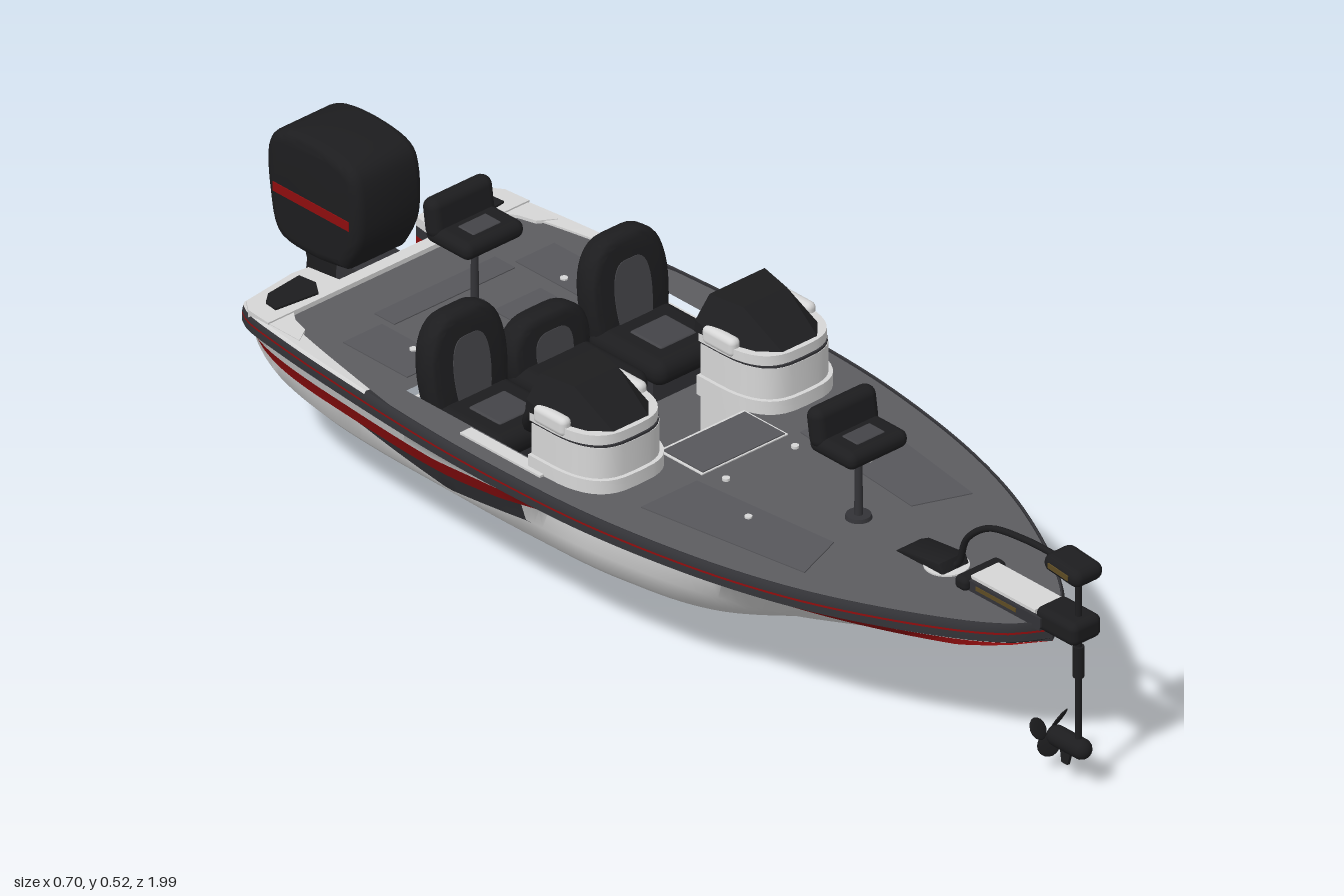
import * as THREE from 'three';
import { toCreasedNormals } from 'three/addons/utils/BufferGeometryUtils.js';
import { RoundedBoxGeometry } from 'three/addons/geometries/RoundedBoxGeometry.js';
import { ConvexGeometry } from 'three/addons/geometries/ConvexGeometry.js';

const mat = (name, color) => Object.assign(new THREE.MeshStandardMaterial({ color }), { name });
const V = (x, y, z) => new THREE.Vector3(x, y, z);

export function createModel() {
  const white = mat('gelcoatWhite', 0xd6d6d6), red = mat('stripeRed', 0x8e0d0e), dark = mat('trimCharcoal', 0x333337);
  const black = mat('vinylBlack', 0x1d1d1f), carpet = mat('deckCarpet', 0x5c5c60), hatch = mat('hatchGrey', 0x57575b);
  const metal = mat('metalGrey', 0x7c7c80), insert = mat('seatInsertGrey', 0x444448), bronze = mat('labelBronze', 0x5e4c24);
  const boat = new THREE.Group();
  boat.name = 'bassBoat';

  // ---- helpers ----
  const add = (parent, name, geo, m, p = [0, 0, 0], r = [0, 0, 0]) => {
    const mesh = new THREE.Mesh(geo, m);
    mesh.name = name;
    mesh.position.set(...p);
    mesh.rotation.set(...r);
    parent.add(mesh);
    return mesh;
  };
  const group = (name, x = 0, y = 0, z = 0) => {
    const g = new THREE.Group();
    g.name = name;
    g.position.set(x, y, z);
    boat.add(g);
    return g;
  };
  const box = (w, h, d) => new THREE.BoxGeometry(w, h, d);
  const soft = (w, h, d, r) => new RoundedBoxGeometry(w, h, d, 3, r);
  const cyl = (r0, r1, h, n = 20) => new THREE.CylinderGeometry(r0, r1, h, n);
  const v2 = (pts) => pts.map(([a, b]) => new THREE.Vector2(a, b));
  // plan outline in (x, z), extruded from y0 up to y1
  const plan = (pts, y0, y1, hole) => {
    const s = new THREE.Shape(v2(pts.map(([x, z]) => [x, -z])));
    if (hole) s.holes.push(new THREE.Path(v2(hole.map(([x, z]) => [x, -z]))));
    const g = new THREE.ExtrudeGeometry(s, { depth: y1 - y0, bevelEnabled: false });
    return toCreasedNormals(g.rotateX(-Math.PI / 2).translate(0, y0, 0), 0.6);
  };
  // side outline in (z, y), extruded across x and centred
  const side = (pts, width, bevel = 0, smooth = false) => {
    const line = smooth ? new THREE.SplineCurve(v2([...pts, pts[0]])).getPoints(48).slice(0, -1) : v2(pts);
    const g = new THREE.ExtrudeGeometry(new THREE.Shape(line), {
      depth: width - 2 * bevel, bevelEnabled: bevel > 0, bevelSize: bevel, bevelThickness: bevel, bevelOffset: -bevel, bevelSegments: 4 });
    return toCreasedNormals(g.translate(0, 0, -(width - 2 * bevel) / 2).rotateY(-Math.PI / 2), 0.7);
  };
  const mirror = (pts) => [...pts, ...pts.slice().reverse().map(([x, z]) => [-x, z])];
  const rect = (x0, x1, z0, z1) => [[x0, z0], [x1, z0], [x1, z1], [x0, z1]];

  // ---- hull lines: z, half beam, keel y, chine x, chine y, side x ratio, side y, stripe from, stripe to ----
  const lines = [
    [-0.82, 0.285, 0.235, 0.25, 0.245, 0.91, 0.25, 0.1, 0.7], [-0.79, 0.3, 0.19, 0.25, 0.2, 0.9, 0.227, 0, 0.5],
    [-0.72, 0.312, 0.125, 0.255, 0.163, 0.89, 0.206, 0, 0.48], [-0.58, 0.328, 0.076, 0.265, 0.145, 0.89, 0.202, 0, 0.48],
    [-0.3, 0.349, 0.073, 0.272, 0.143, 0.89, 0.202, 0.05, 0.52], [-0.1, 0.352, 0.073, 0.272, 0.143, 0.89, 0.204, 0.5, 0.88],
    [0.1, 0.343, 0.075, 0.26, 0.143, 0.88, 0.205, 0.7, 0.95], [0.3, 0.314, 0.086, 0.205, 0.143, 0.85, 0.207, 0.7, 0.95],
    [0.46, 0.275, 0.136, 0.06, 0.145, 0.79, 0.213, 0.7, 0.95], [0.6, 0.223, 0.188, 0.02, 0.192, 0.73, 0.228, 0.7, 0.95],
    [0.76, 0.14, 0.232, 0.012, 0.235, 0.67, 0.244, 0.7, 0.95], [0.86, 0.066, 0.255, 0.006, 0.256, 0.6, 0.258, 0.7, 0.95],
    [0.9, 0, 0.262, 0, 0.262, 0.6, 0.262, 0.7, 0.95]];
  const slope = (i, k) => {
    const a = lines[Math.max(i - 1, 0)], b = lines[Math.min(i + 1, lines.length - 1)];
    return (b[k] - a[k]) / (b[0] - a[0]);
  };
  const at = (z, k) => {
    let i = 0;
    while (i < lines.length - 2 && z > lines[i + 1][0]) i++;
    const a = lines[i], b = lines[i + 1], h = b[0] - a[0], t = (z - a[0]) / h, u = 1 - t;
    return a[k] * (1 + 2 * t) * u * u + b[k] * t * t * (3 - 2 * t) + h * t * u * (u * slope(i, k) - t * slope(i + 1, k));
  };
  const beam = (z) => Math.max(0, at(z, 1));
  const mix = (a, b, t) => [a[0] + (b[0] - a[0]) * t, a[1] + (b[1] - a[1]) * t];
  // half section from keel to the inner edge of the gunwale
  const section = (z) => {
    const B = beam(z), keel = [0, at(z, 2)], chine = [at(z, 3), at(z, 4)], M = [at(z, 5) * B, at(z, 6)], U = [B - 0.012, 0.262];
    const bilge = mix(chine, M, 0.35), rim = THREE.MathUtils.mapLinear(THREE.MathUtils.clamp(z, -0.72, -0.4), -0.72, -0.4, 0.044, 0.01);
    bilge[0] += 0.009 * Math.min(1, chine[0] / 0.25);
    const patch = 0.9 * Math.max(0, 1 - Math.abs(z + 0.29) / 0.22);
    // forward, the stripe lies on the flare tucked under the rail
    const flare = [B * 0.885, Math.max(0.249, M[1] + 0.002)];
    const low = mix(mix(M, U, at(z, 7)), flare, THREE.MathUtils.smoothstep(z, -0.15, 0.08));
    return [keel, mix(keel, chine, 0.2), mix(chine, keel, Math.min(0.5, 0.035 / chine[0] || 0)), chine, bilge, mix(M, bilge, patch), M,
      low, mix(low, U, z < -0.3 ? 0.5 : Math.min(0.92, 0.5 + (z + 0.3) * 1.6)), U, [B, 0.268], [B, 0.282], [B, 0.286], [B - 0.003, 0.297],
      [B - 0.007, 0.302], [B - rim, 0.301], [B - rim, 0.285]].map(([x, y]) => [Math.max(0, x), y]);
  };
  const bandColour = (k, z) => {
    if (k === 2) return z < 0.46 && z > -0.74 ? 1 : 0;
    if (k === 5) return 2;
    if (k === 6) return z < -0.07 && z > -0.5 ? 2 : 0;
    if (k === 7 || k === 11) return 1;
    if (k >= 13) return z < -0.45 ? 0 : 2;
    return k >= 9 ? 2 : 0;
  };
  const N = 86, pos = [], faces = [[], [], []];
  for (let i = 0; i <= N; i++) {
    const z = -0.82 + 1.72 * i / N, s = section(z), n = s.length, W = 2 * n - 1;
    for (let j = 0; j < W; j++) {
      const [x, y] = s[Math.abs(j - n + 1)];
      pos.push(j < n - 1 ? -x : x, y, z);
      if (i === N || j === W - 1) continue;
      const a = i * W + j, k = j < n - 1 ? n - 2 - j : j - n + 1;
      faces[bandColour(k, z + 0.01)].push(a, a + 1, a + W, a + 1, a + W + 1, a + W);
    }
  }
  const hull = new THREE.BufferGeometry();
  hull.setAttribute('position', new THREE.Float32BufferAttribute(pos, 3));
  hull.setIndex(faces.flat());
  faces.reduce((start, f, m) => (hull.addGroup(start, f.length, m), start + f.length), 0);
  add(boat, 'hull', toCreasedNormals(hull, 0.7), [white, red, dark]);

  // ---- deck with sunken cockpit ----
  const edge = [];
  for (let z = -0.75; z < 0.89; z += 0.03) edge.push([beam(z) - 0.008, z]);
  const well = rect(-0.275, 0.275, -0.42, 0.03);
  add(boat, 'deck', plan(mirror([...edge, [0.006, 0.888]]), 0.272, 0.297, well), carpet);
  add(boat, 'cockpitWalls', plan(rect(-0.283, 0.283, -0.428, 0.038), 0.19, 0.273, well), white);
  add(boat, 'cockpitFloor', box(0.56, 0.01, 0.46), carpet, [0, 0.19, -0.195]);
  add(boat, 'cockpitSill', box(0.19, 0.05, 0.01), white, [0, 0.274, 0.026]);
  add(boat, 'cockpitStepFrame', box(0.2, 0.004, 0.11), white, [0, 0.297, 0.076]);
  add(boat, 'cockpitStep', box(0.19, 0.004, 0.1), hatch, [0, 0.299, 0.078]);
  add(boat, 'sternHatch', box(0.28, 0.004, 0.05), hatch, [0, 0.297, -0.62]);
  for (const s of [-1, 1]) {
    add(boat, 'bowHatch', plan([[0.12 * s, 0.14], [0.25 * s, 0.14], [0.195 * s, 0.49], [0.09 * s, 0.45]], 0.295, 0.299), hatch);
    add(boat, 'rearHatch', box(0.11, 0.004, 0.09), hatch, [0.07 * s, 0.297, -0.47]);
    add(boat, 'sideHatch', box(0.09, 0.004, 0.16), hatch, [0.2 * s, 0.297, -0.53]);
    add(boat, 'cockpitSideTrim', box(0.026, 0.006, 0.2), white, [0.295 * s, 0.298, -0.15]);
    for (const [x, z] of [[0.14, 0.29], [0.08, 0.17], [0.175, -0.51], [0.08, -0.43]])
      add(boat, 'hatchLatch', cyl(0.007, 0.007, 0.006, 12), white, [x * s, 0.299, z]);
  }

  // ---- stern cap with motor notch, layered for the wrapped stripes ----
  const cap = (w) => mirror([[0.303 * w, -0.735], [0.298 * w, -0.79], [0.28 * w, -0.815], [0.16, -0.83], [0.125, -0.826], [0.115, -0.76]]);
  [[0.236, 0.25, 0.85, white], [0.25, 0.268, 0.92, red], [0.268, 0.288, 0.98, dark], [0.288, 0.306, 1, white]]
    .forEach(([a, b, w, m]) => add(boat, 'sternCap', plan(cap(w), a, b), m));
  add(boat, 'notchFloor', box(0.25, 0.012, 0.08), white, [0, 0.238, -0.782]);
  add(boat, 'notchWall', box(0.24, 0.1, 0.01), white, [0, 0.254, -0.752]);
  for (const s of [-1, 1]) {
    add(boat, 'capCorner', plan([[0.3 * s, -0.74], [0.24 * s, -0.74], [0.258 * s, -0.715], [0.268 * s, -0.68], [0.3 * s, -0.66]], 0.29, 0.303), white);
    add(boat, 'sternGrille', plan([[0.16 * s, -0.812], [0.24 * s, -0.803], [0.262 * s, -0.785], [0.265 * s, -0.757], [0.175 * s, -0.747], [0.155 * s, -0.775]], 0.304, 0.31), black);
  }

  // ---- consoles ----
  const dShape = (hw, z0, z1) => {
    const p = [[hw, z0]];
    for (let i = 0; i <= 20; i++) {
      const a = Math.PI * i / 20, c = Math.cos(a);
      p.push([Math.sign(c) * hw * Math.abs(c) ** 0.62, z0 + 0.05 + (z1 - z0 - 0.05) * Math.sin(a) ** 0.85]);
    }
    return [...p, [-hw, z0]];
  };
  for (const s of [-1, 1]) {
    const c = group(s < 0 ? 'helmConsole' : 'passengerConsole', 0.196 * s);
    add(c, 'consoleBase', plan(dShape(0.103, -0.09, 0.08), 0.285, 0.323), white);
    add(c, 'consoleBody', plan(dShape(0.096, -0.088, 0.072), 0.195, 0.383), white);
    add(c, 'consoleSeam', plan(dShape(0.095, -0.088, 0.071), 0.383, 0.387), dark);
    add(c, 'consoleLip', plan(dShape(0.097, -0.092, 0.067), 0.387, 0.406), white);
    const screen = [];
    for (const x of [-1, 1]) screen.push(V(0.1 * x, 0.404, -0.1), V(0.093 * x, 0.404, -0.035), V(0.073 * x, 0.404, 0.025), V(0.04 * x, 0.404, 0.06), V(0.064 * x, 0.463, -0.1), V(0.05 * x, 0.461, -0.03), V(0.097 * x, 0.425, -0.1));
    add(c, 'windscreen', new ConvexGeometry(screen), black);
    for (const x of [-0.088, 0.088]) add(c, 'lipEnd', soft(0.024, 0.036, 0.08, 0.011), white, [x, 0.405, -0.045]);
    add(c, 'dashPanel', soft(0.175, 0.12, 0.014, 0.006), black, [0, 0.36, -0.094]);
    for (const x of [-0.05, 0.05]) {
      add(c, 'gaugeRing', new THREE.TorusGeometry(0.02, 0.004, 6, 24), white, [x, 0.4, -0.104]);
      add(c, 'gaugeFace', cyl(0.017, 0.017, 0.004), dark, [x, 0.4, -0.103], [Math.PI / 2, 0, 0]);
    }
  }
  const wheel = group('steeringWheel', -0.196, 0.36, -0.14);
  wheel.rotation.x = 0.4;
  add(wheel, 'wheelRim', new THREE.TorusGeometry(0.056, 0.008, 8, 28), black);
  for (let i = 0; i < 3; i++) add(wheel, 'wheelSpoke', box(0.012, 0.05, 0.005), white, [0.025 * Math.sin(i * 2.09), 0.025 * Math.cos(i * 2.09), 0], [0, 0, -i * 2.09]);
  add(wheel, 'wheelColumn', cyl(0.012, 0.012, 0.06), black, [0, 0, 0.02], [Math.PI / 2, 0, 0]);

  // ---- cockpit seats ----
  for (const x of [-0.187, 0, 0.187]) {
    const mid = x === 0, h = mid ? 0.11 : 0.185, g = group(mid ? 'centreSeat' : 'bucketSeat', x, 0.2, -0.3);
    add(g, 'seatBase', box(0.13, 0.05, 0.13), dark, [0, 0.02, 0.005]);
    add(g, 'seatCushion', soft(0.175, 0.05, 0.19, 0.024), black, [0, 0.065, 0.013]);
    add(g, 'seatInsert', soft(0.085, 0.012, 0.08, 0.005), insert, [0, 0.087, 0.025]);
    const back = new THREE.Group();
    back.name = 'seatBack';
    back.position.set(0, 0.045, -0.05);
    back.rotation.x = -0.14;
    g.add(back);
    const arch = (w, t) => new THREE.Shape().moveTo(-w * 0.8, 0).lineTo(w * 0.8, 0).bezierCurveTo(w * 1.15, t * 0.5, w * 1.1, t, 0.3 * w, t)
      .lineTo(-0.3 * w, t).bezierCurveTo(-w * 1.1, t, -w * 1.15, t * 0.5, -w * 0.8, 0);
    const pad = new THREE.ExtrudeGeometry(arch(0.073, h), { depth: 0.018, bevelSize: 0.017, bevelThickness: 0.017, bevelSegments: 4, curveSegments: 14 });
    add(back, 'backShell', toCreasedNormals(pad.translate(0, 0, -0.022), 0.8), black);
    const face = new THREE.ExtrudeGeometry(arch(0.042, h * 0.72), { depth: 0.006, bevelEnabled: false, curveSegments: 12 });
    add(back, 'backInsert', face, insert, [0, h * 0.12, 0.0085]);
  }

  // ---- fishing seats on posts ----
  for (const z of [0.415, -0.545]) {
    const g = group('pedestalSeat', 0, 0, z);
    add(g, 'seatPost', cyl(0.006, 0.008, 0.15), dark, [0, 0.365, 0]);
    add(g, 'postFoot', cyl(0.022, 0.024, 0.008), dark, [0, 0.3, 0]);
    add(g, 'swivelPlate', box(0.06, 0.008, 0.06), dark, [0, 0.433, 0]);
    add(g, 'seatCushion', soft(0.138, 0.034, 0.112, 0.016), black, [0, 0.449, 0]);
    add(g, 'cushionInsert', soft(0.065, 0.008, 0.04, 0.003), insert, [0, 0.464, 0.012]);
    add(g, 'seatBackrest', soft(0.145, 0.076, 0.038, 0.018), black, [0, 0.48, -0.04], [-0.15, 0, 0]);
  }

  // ---- outboard motor ----
  const ob = group('outboardMotor');
  add(ob, 'cowling', side([[-0.79, 0.292], [-0.757, 0.36], [-0.757, 0.455], [-0.785, 0.499], [-0.87, 0.512], [-0.95, 0.502], [-0.986, 0.465], [-0.984, 0.38], [-0.958, 0.296], [-0.87, 0.282]], 0.156, 0.02, true), black);
  for (const s of [-1, 1]) add(ob, 'cowlStripe', box(0.004, 0.018, 0.19), red, [0.0775 * s, 0.388, -0.87]);
  add(ob, 'midsection', side([[-0.81, 0.31], [-0.955, 0.31], [-0.935, 0.24], [-0.94, 0.2], [-0.92, 0.135], [-0.845, 0.135], [-0.835, 0.22]], 0.07, 0.014), black);
  add(ob, 'transomBracket', side([[-0.75, 0.29], [-0.84, 0.29], [-0.85, 0.17], [-0.815, 0.17]], 0.1, 0.008), dark);
  add(ob, 'ventPlate', plan(mirror([[0.018, -0.815], [0.04, -0.9], [0.038, -0.985], [0.02, -0.998]]), 0.122, 0.13), dark);
  add(ob, 'lowerLeg', side([[-0.845, 0.138], [-0.93, 0.138], [-0.925, 0.05], [-0.86, 0.05]], 0.032, 0.01), metal);
  add(ob, 'gearcase', new THREE.SphereGeometry(1, 24, 14).scale(0.022, 0.022, 0.065), metal, [0, 0.062, -0.885]);
  add(ob, 'skeg', side([[-0.865, 0.05], [-0.925, 0.05], [-0.94, 0], [-0.91, 0.004]], 0.008), metal);
  add(ob, 'propHub', cyl(0.014, 0.02, 0.06), metal, [0, 0.062, -0.95], [-Math.PI / 2, 0, 0]);
  const blades = (parent, y, z, r, w, m) => {
    for (let i = 0; i < 3; i++) {
      const holder = new THREE.Group();
      holder.name = 'propBlade';
      holder.position.set(0, y, z);
      holder.rotation.z = (2 * i + 1) * Math.PI / 3;
      parent.add(holder);
      add(holder, 'blade', new THREE.SphereGeometry(1, 14, 8).scale(w, r / 2, 0.003), m, [0, r / 2 + 0.005, 0], [0, 0.6, 0]);
    }
  };
  blades(ob, 0.062, -0.95, 0.05, 0.024, metal);

  // ---- bow trolling motor ----
  const tm = group('trollingMotor');
  add(tm, 'shaft', cyl(0.006, 0.006, 0.36, 14), black, [0, 0.265, 0.965]);
  add(tm, 'shaftCollar', cyl(0.01, 0.01, 0.06, 14), black, [0, 0.25, 0.965]);
  add(tm, 'controlHead', soft(0.068, 0.034, 0.09, 0.016), black, [0, 0.432, 0.952], [0.1, 0, 0]);
  const cable = new THREE.CatmullRomCurve3([V(0, 0.434, 0.93), V(0, 0.432, 0.83), V(0, 0.415, 0.74), V(0, 0.37, 0.685), V(0.004, 0.31, 0.66), V(0, 0.298, 0.64)]);
  add(tm, 'steeringCable', new THREE.TubeGeometry(cable, 32, 0.006, 8), black);
  add(tm, 'mountClamp', soft(0.07, 0.045, 0.1, 0.014), black, [0, 0.318, 0.94]);
  add(tm, 'mountBase', box(0.06, 0.014, 0.2), dark, [0, 0.3, 0.8]);
  add(tm, 'mountTray', box(0.064, 0.012, 0.16), white, [0, 0.325, 0.81]);
  for (const s of [-1, 1]) {
    add(tm, 'mountRail', box(0.007, 0.018, 0.2), dark, [0.035 * s, 0.316, 0.81]);
    add(tm, 'mountLabel', box(0.003, 0.008, 0.1), bronze, [0.038 * s, 0.316, 0.8]);
    add(tm, 'headLabel', box(0.003, 0.01, 0.05), bronze, [0.0335 * s, 0.433, 0.95], [0.1, 0, 0]);
  }
  add(tm, 'mountLatch', soft(0.1, 0.026, 0.03, 0.01), black, [0, 0.316, 0.72]);
  add(tm, 'pedalTray', cyl(0.04, 0.04, 0.004, 28), white, [0, 0.298, 0.635]);
  add(tm, 'footPedal', side([[0.54, 0.297], [0.66, 0.297], [0.65, 0.318], [0.56, 0.308]], 0.062, 0.004), black);
  add(tm, 'pod', new THREE.CapsuleGeometry(0.019, 0.06, 6, 18), black, [0, 0.08, 0.942], [Math.PI / 2, 0, 0]);
  add(tm, 'podFin', side([[0.95, 0.07], [0.92, 0.07], [0.925, 0.035], [0.94, 0.035]], 0.006), black);
  blades(tm, 0.08, 0.89, 0.046, 0.02, black);
  return boat;
}
